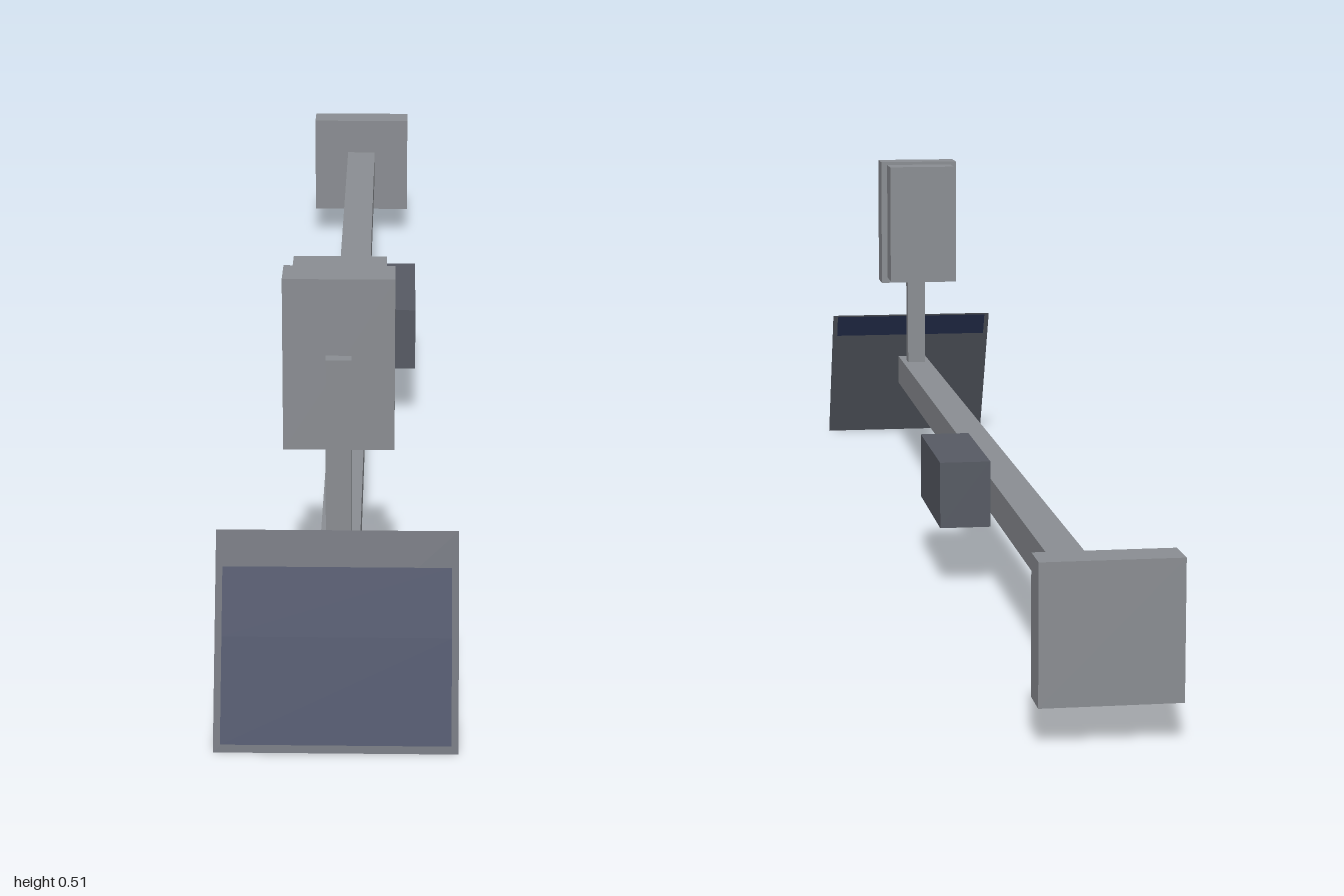
import * as THREE from 'three';

function material(name, color) {
  const m = new THREE.MeshStandardMaterial({ color });
  m.name = name;
  return m;
}

export function createModel() {
  const group = new THREE.Group();
  const grey = material('light grey metal', 0x8a8d92);
  const dark = material('dark grey metal', 0x565a63);
  const blue = material('solar blue', 0x25304f);

  // Box given by its minimum and maximum on each axis
  function box(name, mat, [x0, x1], [y0, y1], [z0, z1]) {
    const mesh = new THREE.Mesh(new THREE.BoxGeometry(x1 - x0, y1 - y0, z1 - z0), mat);
    mesh.position.set((x0 + x1) / 2, (y0 + y1) / 2, (z0 + z1) / 2);
    mesh.name = name;
    group.add(mesh);
  }

  // Long boom with a mounting plate at the rear end
  box('boom', grey, [-0.024, 0.024], [0.105, 0.153], [-0.95, 0.885]);
  box('mountingPlate', grey, [-0.083, 0.083], [0.046, 0.212], [-1, -0.95]);

  // Control box on the left side of the boom
  box('controlBox', dark, [0.024, 0.094], [0.085, 0.177], [-0.24, -0.02]);

  // Post carrying the two-part instrument head
  box('post', grey, [-0.015, 0.015], [0.153, 0.417], [0.812, 0.838]);
  box('headFrontPlate', grey, [-0.065, 0.065], [0.3, 0.51], [0.772, 0.822]);
  box('headRearHousing', grey, [-0.055, 0.055], [0.309, 0.505], [0.722, 0.772]);

  // Tilted thin panel: its local y runs up the slope, local z is the outward normal
  const height = 0.228, depth = 0.11;
  const slope = Math.hypot(height, depth);
  const panel = new THREE.Group();
  panel.name = 'solarPanel';
  panel.position.set(0, 0, 1);
  panel.rotation.x = -Math.atan2(depth, height);
  group.add(panel);

  // Sheet between two heights above the ground, facing forward or backward
  function sheet(name, mat, halfWidth, y0, y1, offset, back = false) {
    const k = slope / height;
    const mesh = new THREE.Mesh(new THREE.PlaneGeometry(2 * halfWidth, (y1 - y0) * k), mat);
    mesh.position.set(0, ((y0 + y1) / 2) * k, offset);
    if (back) mesh.rotation.y = Math.PI;
    mesh.name = name;
    panel.add(mesh);
  }
  sheet('panelFrame', dark, 0.14, 0, height, 0);
  sheet('panelBack', dark, 0.14, 0, height, -0.001, true);
  sheet('lowerCells', blue, 0.132, 0.008, 0.118, 0.0015);
  sheet('upperCells', blue, 0.132, 0.118, 0.19, 0.0015);
  sheet('backStrip', blue, 0.132, 0.19, 0.226, -0.0025, true);

  return group;
}
